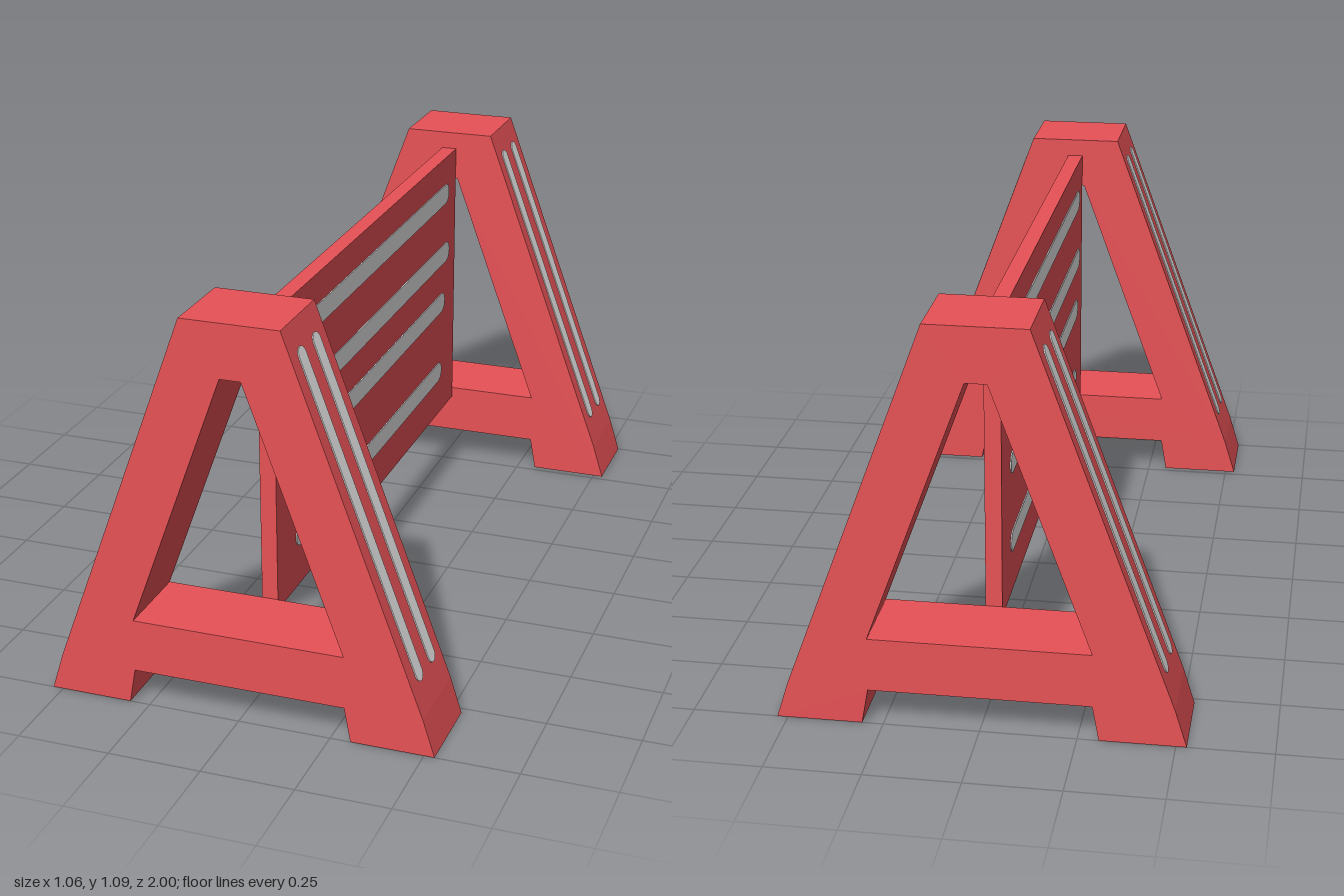
import * as THREE from 'three';

const red = new THREE.MeshStandardMaterial({ color: 0xee5458 });
red.name = 'barrier red';
const pale = new THREE.MeshStandardMaterial({ color: 0xeeeeee });
pale.name = 'stripe white';

// Thin round-ended strip running along local x, facing local z
function stripe(name, length, width) {
  const r = width / 2, h = length / 2 - r;
  const s = new THREE.Shape();
  s.absarc(h, 0, r, -Math.PI / 2, Math.PI / 2, false);
  s.absarc(-h, 0, r, Math.PI / 2, Math.PI * 1.5, false);
  const geo = new THREE.ExtrudeGeometry(s, { depth: 0.005, bevelEnabled: false, curveSegments: 8 });
  geo.translate(0, 0, -0.002);
  const mesh = new THREE.Mesh(geo, pale);
  mesh.name = name;
  return mesh;
}

// A-shaped end stand with a triangular opening
function endFrame() {
  const half = [[0.305, 0], [0.528, 0], [0.497, 0.1], [0.132, 1.09]];
  const right = [[0.288, 0.095], ...half];
  const left = right.map(([x, y]) => [-x, y]).reverse();
  const points = (list) => list.map(([x, y]) => new THREE.Vector2(x, y));
  const shape = new THREE.Shape(points([...right, ...left]));
  shape.holes.push(new THREE.Path(points([[0.287, 0.24], [-0.287, 0.24], [-0.028, 0.945], [0.028, 0.945]])));
  const depth = 0.23;
  const geo = new THREE.ExtrudeGeometry(shape, { depth, bevelEnabled: false });
  geo.translate(0, 0, -depth / 2);
  return new THREE.Mesh(geo, red);
}

// Stripes for one long side; the other side is this turned half way round
function sideStripes() {
  const side = new THREE.Group();
  // Panel stripes: height, front end, back end
  const rows = [[0.925, 0.61, -0.695], [0.735, 0.635, -0.705], [0.58, 0.635, -0.665], [0.355, 0.635, -0.64]];
  for (const [y, z0, z1] of rows) {
    const m = stripe('panelStripe', z0 - z1, 0.06);
    m.rotation.y = Math.PI / 2;
    m.position.set(0.022, y, (z0 + z1) / 2);
    side.add(m);
  }
  // Leg stripes lie along the sloping outer face
  const foot = new THREE.Vector3(0.497, 0.1, 0), top = new THREE.Vector3(0.132, 1.09, 0);
  const up = top.clone().sub(foot).normalize();
  const out = new THREE.Vector3(up.y, -up.x, 0);
  const basis = new THREE.Matrix4().makeBasis(up, new THREE.Vector3(0, 0, 1), out);
  for (const z of [0.935, 0.835, -0.835, -0.935]) {
    const m = stripe('legStripe', 0.911, 0.045);
    m.quaternion.setFromRotationMatrix(basis);
    m.position.lerpVectors(foot, top, (0.6025 - 0.1) / 0.99);
    m.position.z = z;
    side.add(m);
  }
  return side;
}

export function createModel() {
  const model = new THREE.Group();
  model.name = 'barrier';

  // End stands
  for (const s of [1, -1]) {
    const frame = endFrame();
    frame.name = s > 0 ? 'frontFrame' : 'backFrame';
    frame.position.z = s * 0.885;
    model.add(frame);
  }

  // Upright board between the stands
  const panel = new THREE.Mesh(new THREE.BoxGeometry(0.044, 0.83, 1.54), red);
  panel.name = 'panel';
  panel.position.y = 0.625;
  model.add(panel);

  // Painted stripes on both sides
  for (const s of [0, 1]) {
    const side = sideStripes();
    side.name = s ? 'rightStripes' : 'leftStripes';
    side.rotation.y = s * Math.PI;
    model.add(side);
  }
  return model;
}
